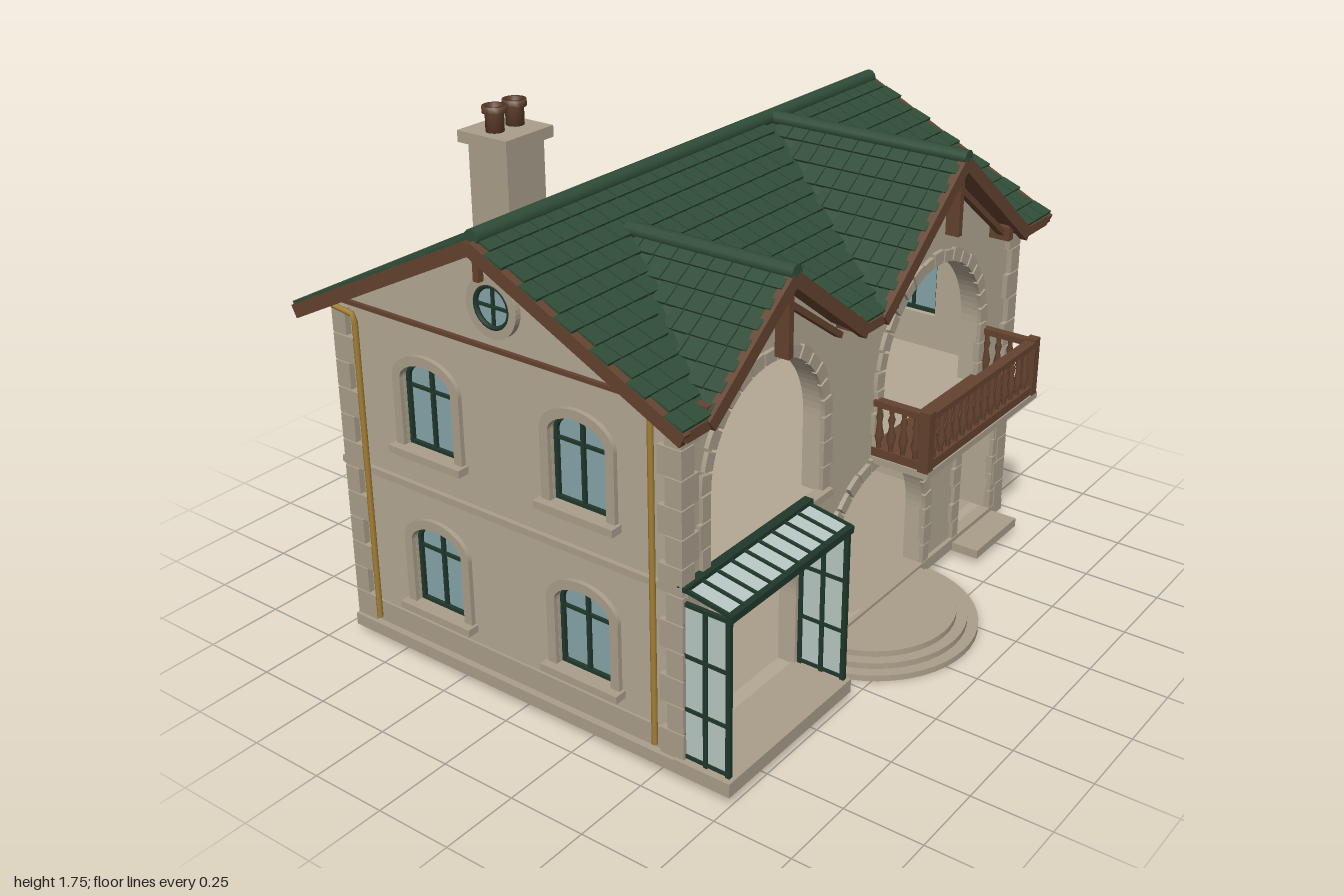
import * as THREE from 'three';
import { mergeGeometries } from 'three/addons/utils/BufferGeometryUtils.js';

const mat = (name, color) => Object.assign(new THREE.MeshStandardMaterial({ color }), { name });
const WALL = mat('wall plaster', 0xb3a894), STONE = mat('trim stone', 0xaa9f8b);
const GREEN = mat('roof tile green', 0x2f4c37), WOOD = mat('brown wood', 0x64432f);
const FRAME = mat('dark green frame', 0x20382c), GLASS = mat('window glass', 0x86a5a8);
const PALE = mat('pale glass', 0xb8c8c3), BRASS = mat('brass pipe', 0xa47f35);
PALE.side = THREE.DoubleSide;

// Roof heights: main ridge along x, two front gables with ridges along z
const RIDGE_Z = -0.05, EAVE = 0.65, BACK = -0.76;
const mainTop = (z) => 1.475 - 0.5 * Math.abs(z - RIDGE_Z);
const GABLES = [{ c: -0.515, peak: 1.4, w: 0.365, zr: 0.1 }, { c: 0.39, peak: 1.475, w: 0.435, zr: -0.05 }];
GABLES.forEach((g) => { g.s = (g.peak - mainTop(EAVE)) / g.w; g.top = (x) => g.peak - g.s * Math.abs(x - g.c); });

const boxGeo = (x0, x1, y0, y1, z0, z1) =>
  new THREE.BoxGeometry(x1 - x0, y1 - y0, z1 - z0).translate((x0 + x1) / 2, (y0 + y1) / 2, (z0 + z1) / 2);
const extrude = (shape, depth) => new THREE.ExtrudeGeometry(shape, { depth, bevelEnabled: false, curveSegments: 20 });
const poly = (pts) => new THREE.Shape(pts.map((p) => new THREE.Vector2(...p)));

// Arched outline: straight jambs with an elliptical head
function arch(path, cx, hw, y0, spring, rise) {
  path.moveTo(cx - hw, y0).lineTo(cx + hw, y0).lineTo(cx + hw, spring);
  path.absellipse(cx, spring, hw, rise, 0, Math.PI, false);
  return path.lineTo(cx - hw, y0);
}

export function createModel() {
  const house = new THREE.Group();
  house.name = 'house';
  const add = (name, geo, m, parent = house) => {
    const mesh = new THREE.Mesh(geo, m);
    mesh.name = name;
    parent.add(mesh);
    return mesh;
  };
  const box = (name, m, ...b) => add(name, boxGeo(...b), m);
  // Straight bar between two points
  const beam = (name, m, a, b, w, h) => {
    const p = new THREE.Vector3(...a), q = new THREE.Vector3(...b);
    const mesh = new THREE.Mesh(new THREE.BoxGeometry(w, h, p.distanceTo(q)), m);
    mesh.position.copy(p).lerp(q, 0.5);
    mesh.lookAt(q);
    mesh.name = name;
    house.add(mesh);
  };

  // Plinth, floors and ceiling
  box('plinth', STONE, -0.93, 0.93, 0.03, 0.07, -0.69, 0.585);
  box('upperFloor', WALL, -0.85, 0.85, 0.592, 0.61, -0.62, 0.52);
  box('lowerCeiling', WOOD, -0.85, 0.85, 0.582, 0.592, -0.62, 0.52);
  box('upperCeiling', WOOD, -0.85, 0.85, 1.105, 1.12, -0.62, 0.52);

  // Front and back walls with arched openings: [centre, half width, bottom, spring]
  const front = [[-0.515, 0.272, 0.61, 0.85], [0.385, 0.3, 0.61, 0.82], [0.09, 0.29, 0.07, 0.27],
    [0.725, 0.112, 0.07, 0.405], [-0.6, 0.25, 0.07, 0.31]];
  const back = [[-0.5, 0.28, 0.61, 0.84], [0.5, 0.28, 0.61, 0.84], [-0.5, 0.28, 0.07, 0.27],
    [0.5, 0.28, 0.07, 0.27], [0, 0.115, 0.07, 0.415]];
  const [g1, g2] = GABLES, top = 1.13;
  const gablePts = (g) => {
    const d = (g.peak - 0.035 - top) / g.s;
    return [[g.c + d, top], [g.c, g.peak - 0.035], [g.c - d, top]];
  };
  const wall = (name, pts, openings, z) => {
    const s = poly(pts);
    openings.forEach(([c, r, y0, sp]) => s.holes.push(arch(new THREE.Path(), c, r, y0, sp, r)));
    add(name, extrude(s, 0.06).translate(0, 0, z), WALL);
  };
  wall('frontWall', [[-0.9, 0.05], [0.9, 0.05], [0.9, top], ...gablePts(g2), ...gablePts(g1), [-0.9, top]], front, 0.51);
  wall('backWall', [[-0.9, 0.05], [0.9, 0.05], [0.9, top], [-0.9, top]], back, -0.67);

  // Separate stones around an arch and up its jambs
  function surround(name, [c, r, y0, spring], z) {
    const parts = [], w = 0.042, n = Math.round((r + w) * Math.PI / 0.065);
    for (let i = 0; i < n; i++) {
      const a = Math.PI * i / n + 0.004 / r, b = Math.PI * (i + 1) / n - 0.004 / r;
      const s = new THREE.Shape().absarc(c, spring, r + w - (i % 2) * 0.006, a, b, false);
      s.absarc(c, spring, r, b, a, true);
      parts.push(new THREE.ExtrudeGeometry(s, { depth: 0.022, bevelEnabled: false, curveSegments: 3 }).translate(0, 0, z));
    }
    const k = Math.max(2, Math.round((spring - y0) / 0.07)), h = (spring - y0) / k;
    for (let i = 0; i < k; i++) for (const sd of [-1, 1]) {
      const a = c + sd * r, b = c + sd * (r + w + (i % 2 ? 0.006 : -0.006)), y = y0 + i * h;
      parts.push(boxGeo(Math.min(a, b), Math.max(a, b), y + 0.002, y + h - 0.002, z, z + 0.022).toNonIndexed());
    }
    add(name, mergeGeometries(parts), STONE);
  }
  front.slice(0, 4).forEach((o) => surround('frontArchStones', o, 0.562));
  back.forEach((o) => surround('backArchStones', o, -0.684));

  // Side walls with windows, trim, pipes and verge boards
  const winZ = [0.23, -0.33], winY = [0.2, 0.73];
  function sideWindow(x, side, y, z) {
    const g = new THREE.Group();
    g.name = 'sideWindow';
    g.position.set(x, y, z);
    g.rotation.y = side * Math.PI / 2;
    const ring = (hw, inner, rise, grow) => {
      const s = arch(new THREE.Shape(), 0, hw, 0, 0.215, rise);
      s.holes.push(arch(new THREE.Path(), 0, inner, grow, 0.215, rise - (hw - inner)));
      return s;
    };
    add('windowSurround', extrude(ring(0.13, 0.1, 0.09, 0.001), 0.02).translate(0, 0, -0.005), STONE, g);
    add('windowFrame', extrude(ring(0.1, 0.087, 0.065, 0.013), 0.03).translate(0, 0, -0.04), FRAME, g);
    add('windowGlass', extrude(arch(new THREE.Shape(), 0, 0.098, 0.002, 0.215, 0.062), 0.008).translate(0, 0, -0.03), GLASS, g);
    add('windowBar', boxGeo(-0.006, 0.006, 0, 0.277, -0.037, -0.012), FRAME, g);
    add('windowBar', boxGeo(-0.095, 0.095, 0.185, 0.195, -0.037, -0.014), FRAME, g);
    add('windowSill', boxGeo(-0.14, 0.14, -0.022, 0.002, -0.01, 0.04), STONE, g);
    house.add(g);
  }
  for (const side of [-1, 1]) {
    const s = poly([[-0.67, 0.05], [0.57, 0.05], [0.57, top], [RIDGE_Z, 1.44], [-0.67, top]]);
    for (const z of winZ) for (const y of winY) {
      s.holes.push(arch(new THREE.Path(), z, 0.099, y, y + 0.215, 0.064));
      sideWindow(side * 0.9, side, y, z);
    }
    add('sideWall', extrude(s, 0.06).rotateY(-Math.PI / 2).translate(side > 0 ? 0.9 : -0.84, 0, 0), WALL);
    const x = (a, b) => side > 0 ? [a, b] : [-b, -a];
    box('sideFloorBand', STONE, ...x(0.89, 0.915), 0.59, 0.612, -0.68, 0.58);
    box('sideBase', STONE, ...x(0.89, 0.908), 0.06, 0.14, -0.675, 0.575);
    box('gableTrim', WOOD, ...x(0.89, 0.912), 1.125, 1.138, -0.67, 0.57);
    box('gablePost', WOOD, ...x(0.95, 0.97), 1.35, 1.44, -0.06, -0.04);
    // Round gable window
    const round = new THREE.Group();
    round.name = 'roundWindow';
    round.position.set(side * 0.9, 1.26, RIDGE_Z);
    round.rotation.y = side * Math.PI / 2;
    const rim = new THREE.Shape().absarc(0, 0, 0.09, 0, Math.PI * 2, false);
    rim.holes.push(new THREE.Path().absarc(0, 0, 0.065, 0, Math.PI * 2, false));
    add('roundSurround', extrude(rim, 0.02), STONE, round);
    add('roundFrame', new THREE.TorusGeometry(0.061, 0.008, 6, 28).translate(0, 0, 0.012), FRAME, round);
    add('roundGlass', new THREE.CircleGeometry(0.062, 28).translate(0, 0, 0.006), GLASS, round);
    add('roundBar', boxGeo(-0.004, 0.004, -0.06, 0.06, 0, 0.014), FRAME, round);
    add('roundBar', boxGeo(-0.06, 0.06, -0.004, 0.004, 0, 0.014), FRAME, round);
    house.add(round);
    // Downpipes with an elbow to the eaves
    for (const [z, end] of [[0.49, 0.57], [-0.59, -0.68]]) {
      const path = new THREE.CurvePath();
      const pts = [[z, 0.09], [z, 1.105], [end, 1.115]].map(([pz, py]) => new THREE.Vector3(side * 0.922, py, pz));
      path.add(new THREE.LineCurve3(pts[0], pts[1]));
      path.add(new THREE.LineCurve3(pts[1], pts[2]));
      add('downpipe', new THREE.TubeGeometry(path, 40, 0.009, 8), BRASS);
    }
    for (const z of [EAVE, BACK]) beam('vergeBoard', WOOD, [side * 0.985, 1.453, RIDGE_Z], [side * 0.985, mainTop(z) - 0.022, z], 0.025, 0.042);
  }

  // Corner quoins
  const quoins = [];
  for (let i = 0; i < 12; i++) for (const sx of [-1, 1]) for (const [z, sz] of [[0.57, 1], [-0.67, -1]]) {
    const y = 0.07 + i * 0.087, lx = i % 2 ? 0.075 : 0.055, lz = i % 2 ? 0.055 : 0.08;
    quoins.push(new THREE.BoxGeometry(lx, 0.083, lz).translate(sx * (0.92 - lx / 2), y + 0.043, z + sz * (0.018 - lz / 2)));
  }
  add('quoins', mergeGeometries(quoins), STONE);
  box('frontFloorBand', STONE, -0.91, -0.21, 0.592, 0.615, 0.56, 0.6);
  box('backFloorBand', STONE, -0.91, 0.91, 0.59, 0.612, -0.71, -0.66);

  // Roof panels: a plan outline lifted onto a slope
  const panel = (name, m, plan, height, t) => {
    const geo = extrude(poly(plan.map(([x, z]) => [x, -z])), t).rotateX(-Math.PI / 2), p = geo.attributes.position;
    for (let i = 0; i < p.count; i++) p.setY(i, p.getY(i) + height(p.getX(i), p.getZ(i)));
    geo.computeVertexNormals();
    add(name, geo, m);
  };
  const layers = (name, plan, h) => {
    panel(name + 'Boards', WOOD, plan, (x, z) => h(x, z) - 0.035, 0.023);
    panel(name + 'Cover', GREEN, plan, (x, z) => h(x, z) - 0.012, 0.012);
  };
  const X = 0.975, notch = (g) => [[g.c - g.w, EAVE], [g.c, g.zr], [g.c + g.w, EAVE]];
  layers('backRoof', [[-X, BACK], [X, BACK], [X, RIDGE_Z], [-X, RIDGE_Z]], (x, z) => mainTop(z));
  layers('frontRoof', [[-X, RIDGE_Z], [-X, EAVE], ...notch(g1), ...notch(g2), [X, EAVE], [X, RIDGE_Z]], (x, z) => mainTop(z));

  // Staggered tiles on the main slopes
  const tiles = [], tw = 0.065, tilt = Math.atan(0.5) - 0.1;
  for (const [sd, len] of [[1, EAVE - RIDGE_Z], [-1, RIDGE_Z - BACK]]) {
    const rows = 12, pitch = len / rows;
    for (let r = 0; r < rows; r++) for (let i = 0; i <= 30; i++) {
      const edge = r % 2 ? 0.998 : X, s = -X + (i - (r % 2) / 2) * tw;
      const a = Math.max(i ? s : -edge, -edge), b = Math.min(i === 30 ? edge : s + tw, edge), z = RIDGE_Z + sd * (r + 0.5) * pitch;
      if (b - a < 0.01) continue;
      const mid = (a + b) / 2;
      if (sd > 0 && GABLES.some((g) => g.top(mid) > mainTop(z) - 0.012)) continue;
      tiles.push(new THREE.BoxGeometry(b - a - 0.004, 0.009, pitch * 1.13).rotateX(sd * tilt).translate(mid, mainTop(z) + 0.003, z));
    }
  }
  // Gable slopes, their tiles, ridge caps and timberwork
  for (const g of GABLES) {
    for (const sd of [-1, 1]) {
      layers('gableRoof', [[g.c, g.zr], [g.c, EAVE], [g.c + sd * g.w, EAVE]], g.top);
      const rows = Math.round(g.w / 0.052), pitch = g.w / rows, a = Math.atan(g.s);
      for (let r = 0; r < rows; r++) {
        const d = (r + 0.5) * pitch, z0 = g.zr + (EAVE - g.zr) * (d / g.w);
        for (let z = EAVE; z > z0; z -= 0.06) {
          const e = Math.max(z - 0.06, z0);
          if (z - e > 0.012) tiles.push(new THREE.BoxGeometry(pitch / Math.cos(a), 0.009, z - e - 0.004)
            .rotateZ(-sd * (a - 0.1)).translate(g.c + sd * d, g.peak - g.s * d + 0.003, (z + e) / 2));
        }
      }
      const end = (off, dy, z) => [g.c + sd * off, g.peak - g.s * off - dy, z];
      beam('gableBoard', WOOD, [g.c, g.peak - 0.018, 0.648], end(g.w + 0.005, 0.018, 0.648), 0.025, 0.042);
      beam('gableBrace', WOOD, [g.c, g.peak - 0.085, 0.61], end(g.w * 0.8, 0.07, 0.61), 0.025, 0.018);
      const tx = g.c + sd * 0.352;
      box('rafterTail', WOOD, tx - 0.014, tx + 0.014, 1.105, 1.15, 0.56, 0.64);
    }
    box('kingPost', WOOD, g.c - 0.011, g.c + 0.011, g.peak - 0.25, g.peak - 0.04, 0.6, 0.645);
    add('gableRidgeCap', new THREE.CylinderGeometry(0.024, 0.024, EAVE + 0.01 - g.zr, 12).rotateX(Math.PI / 2)
      .translate(g.c, g.peak, (g.zr + EAVE + 0.01) / 2), GREEN);
  }
  add('roofTiles', mergeGeometries(tiles), GREEN);
  add('ridgeCap', new THREE.CylinderGeometry(0.025, 0.025, 1.96, 12).rotateZ(Math.PI / 2).translate(0, 1.476, RIDGE_Z), GREEN);
  for (const [a, b] of [[-0.99, g1.c - g1.w], [g1.c + g1.w, g2.c - g2.w], [g2.c + g2.w, 0.99]]) box('frontFascia', WOOD, a, b, 1.1, 1.125, 0.635, 0.655);
  box('backFascia', WOOD, -0.99, 0.99, 1.09, 1.113, -0.765, -0.745);

  // Chimney
  box('chimneyShaft', STONE, -0.76, -0.61, 1.3, 1.65, -0.255, -0.115);
  box('chimneyCap', STONE, -0.78, -0.59, 1.645, 1.678, -0.275, -0.097);
  const pot = [[0, 0], [0.026, 0], [0.026, 0.05], [0.034, 0.053], [0.034, 0.072], [0.022, 0.072], [0.02, 0.03], [0, 0.03]];
  for (const x of [-0.725, -0.645]) add('chimneyPot', new THREE.LatheGeometry(pot.map((p) => new THREE.Vector2(...p)), 16).translate(x, 1.678, -0.186), WOOD);

  // Balcony
  box('balconyBase', STONE, 0.04, 0.75, 0.585, 0.607, 0.56, 0.77);
  box('balconyDeck', WOOD, 0.045, 0.735, 0.607, 0.635, 0.56, 0.765);
  box('balconyFrontRail', WOOD, 0.04, 0.74, 0.775, 0.795, 0.735, 0.77);
  for (const x of [0.055, 0.725]) {
    box('balconySideRail', WOOD, x - 0.015, x + 0.015, 0.775, 0.795, 0.575, 0.76);
    box('balconyPost', WOOD, x - 0.017, x + 0.017, 0.605, 0.803, 0.735, 0.77);
  }
  const turned = [[0.008, 0], [0.008, 0.015], [0.015, 0.045], [0.007, 0.085], [0.012, 0.105], [0.007, 0.12], [0.009, 0.142]];
  const baluster = new THREE.LatheGeometry(turned.map((p) => new THREE.Vector2(...p)), 8), balusters = [];
  for (let i = 1; i < 15; i++) balusters.push(baluster.clone().translate(0.055 + i * 0.67 / 15, 0.634, 0.752));
  for (const x of [0.055, 0.725]) for (let i = 0; i < 4; i++) balusters.push(baluster.clone().translate(x, 0.634, 0.59 + i * 0.042));
  add('balusters', mergeGeometries(balusters), WOOD);
  const bracket = new THREE.Shape().moveTo(0.565, 0.585).lineTo(0.565, 0.475).quadraticCurveTo(0.59, 0.55, 0.68, 0.56).lineTo(0.68, 0.585);
  add('balconyBracket', extrude(bracket, 0.035).rotateY(-Math.PI / 2).translate(0.745, 0, 0), WOOD);

  // Glazed porch: open front, glass sides and sloping glass roof
  const px = [-0.905, -0.335];
  box('porchFloor', STONE, -0.93, -0.32, 0.03, 0.075, 0.56, 0.75);
  for (const x of px) {
    for (const z of [0.58, 0.655, 0.73]) box('porchPost', FRAME, x - 0.007, x + 0.007, 0.075, 0.575, z - 0.007, z + 0.007);
    for (const y of [0.085, 0.24, 0.41, 0.57]) box('porchSideBar', FRAME, x - 0.006, x + 0.006, y - 0.006, y + 0.006, 0.575, 0.735);
    box('porchSideGlass', PALE, x - 0.002, x + 0.002, 0.08, 0.57, 0.58, 0.73);
  }
  box('porchFrontBeam', FRAME, -0.915, -0.325, 0.57, 0.592, 0.725, 0.745);
  box('porchWallBeam', FRAME, -0.92, -0.315, 0.612, 0.626, 0.57, 0.6);
  beam('porchRoofGlass', PALE, [-0.62, 0.613, 0.58], [-0.62, 0.585, 0.74], 0.58, 0.005);
  for (let i = 0; i <= 9; i++) {
    const x = -0.908 + i * 0.0642;
    beam('porchRoofBar', FRAME, [x, 0.616, 0.58], [x, 0.588, 0.74], 0.009, 0.012);
  }

  // Curved steps front and back, and the side-door step
  const steps = (name, x, z, r, d) => [0, 1, 2].forEach((i) =>
    add(name, new THREE.CylinderGeometry(r - i * d, r - i * d, 0.02, 48).translate(x, 0.01 + i * 0.02, z), STONE));
  steps('frontStep', 0.09, 0.555, 0.35, 0.035);
  steps('backStep', 0, -0.675, 0.232, 0.025);
  box('sideDoorStep', STONE, 0.58, 0.855, 0.025, 0.055, 0.56, 0.68);
  return house;
}
